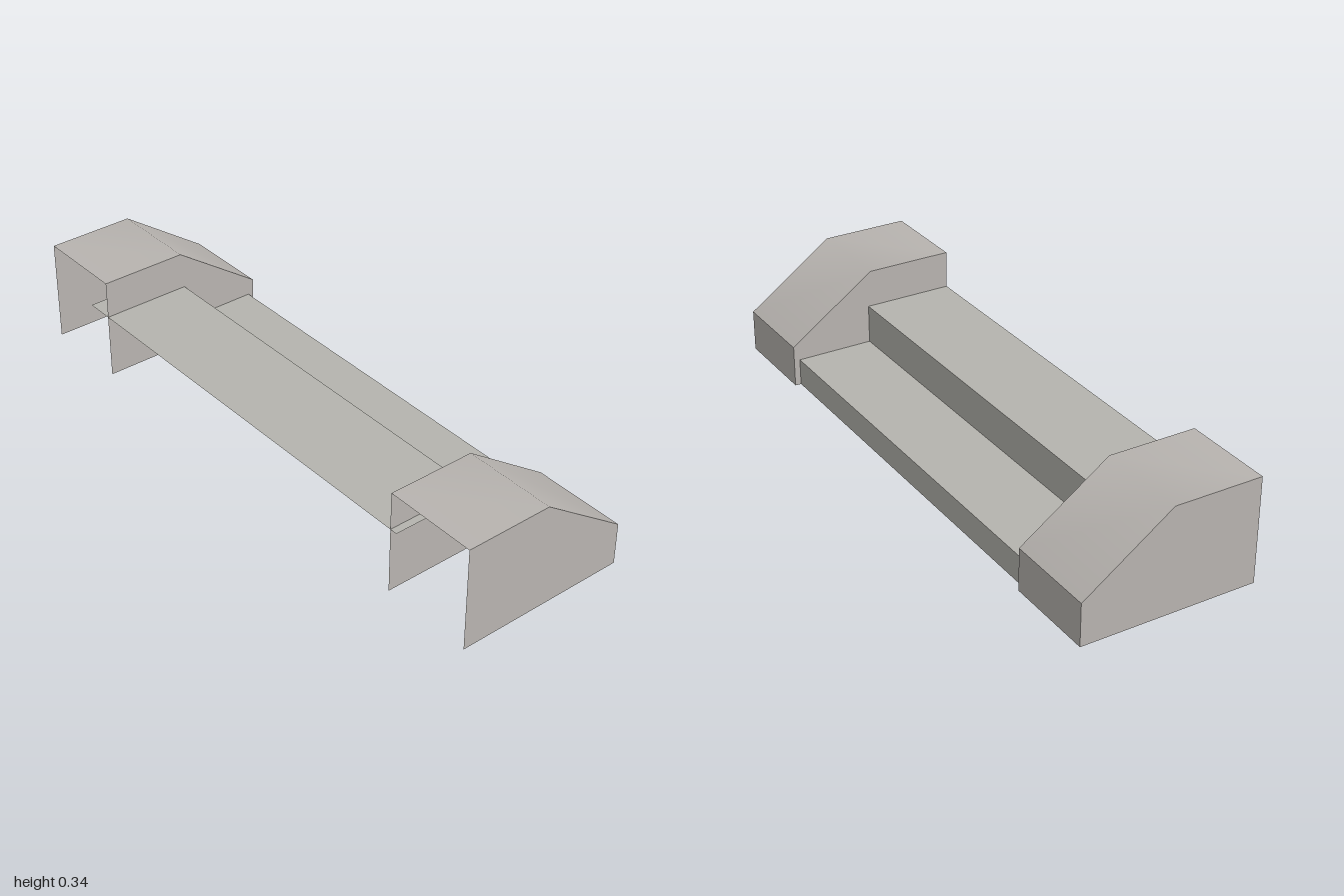
import * as THREE from 'three';

const FRONT = 0.29, BACK = -0.29, HEIGHT = 0.345, RIDGE_Z = 0, BACK_HEIGHT = 0.14;

// Open sheet: sweeps a profile of [z, y] points along x, smooth across its folds
function sheet(name, x0, x1, profile, material) {
  const positions = [], index = [];
  profile.forEach(([z, y], i) => {
    positions.push(x0, y, z, x1, y, z);
    if (i > 0) {
      const a = 2 * (i - 1);
      index.push(a, a + 1, a + 3, a, a + 3, a + 2);
    }
  });
  const geometry = new THREE.BufferGeometry();
  geometry.setAttribute('position', new THREE.Float32BufferAttribute(positions, 3));
  geometry.setIndex(index);
  geometry.computeVertexNormals();
  const mesh = new THREE.Mesh(geometry, material);
  mesh.name = name;
  return mesh;
}

// Five-sided cheek wall at a given x, facing +x or -x
function cheekWall(name, x, facing, material) {
  const outline = [[FRONT, 0], [FRONT, HEIGHT], [RIDGE_Z, HEIGHT], [BACK, BACK_HEIGHT], [BACK, 0]];
  const shape = new THREE.Shape(outline.map(([z, y]) => new THREE.Vector2(-facing * z, y)));
  const geometry = new THREE.ShapeGeometry(shape);
  geometry.rotateY(facing * Math.PI / 2);
  geometry.translate(x, 0, 0);
  const mesh = new THREE.Mesh(geometry, material);
  mesh.name = name;
  return mesh;
}

// End block: hollow, open at the front and underneath
function endBlock(name, x0, x1, material) {
  const block = new THREE.Group();
  block.name = name;
  block.add(
    sheet('slopedTop', x0, x1, [[FRONT, HEIGHT], [RIDGE_Z, HEIGHT], [BACK, BACK_HEIGHT]], material),
    sheet('backWall', x0, x1, [[BACK, BACK_HEIGHT], [BACK, 0]], material),
    cheekWall('rightCheek', x0, -1, material),
    cheekWall('leftCheek', x1, 1, material)
  );
  return block;
}

export function createModel() {
  const stone = new THREE.MeshStandardMaterial({ color: 0xb5b4ae, side: THREE.DoubleSide });
  stone.name = 'stepStone';
  const blockStone = new THREE.MeshStandardMaterial({ color: 0xb8b4b0, side: THREE.DoubleSide });
  blockStone.name = 'blockStone';

  const model = new THREE.Group();
  model.name = 'entranceSteps';
  model.add(
    endBlock('rightBlock', -1, -0.695, blockStone),
    endBlock('leftBlock', 0.69, 1, blockStone)
  );

  // Steps: thin treads and risers running into both blocks
  const steps = new THREE.Group();
  steps.name = 'steps';
  [
    { label: 'upper', y: 0.22, front: 0.29, back: -0.01 },
    { label: 'lower', y: 0.09, front: 0.04, back: -0.27 },
  ].forEach(({ label, y, front, back }) => {
    steps.add(
      sheet(label + 'Tread', -0.79, 0.715, [[front, y], [back, y]], stone),
      sheet(label + 'Riser', -0.79, 0.715, [[back, y], [back, 0]], stone)
    );
  });
  model.add(steps);
  return model;
}
